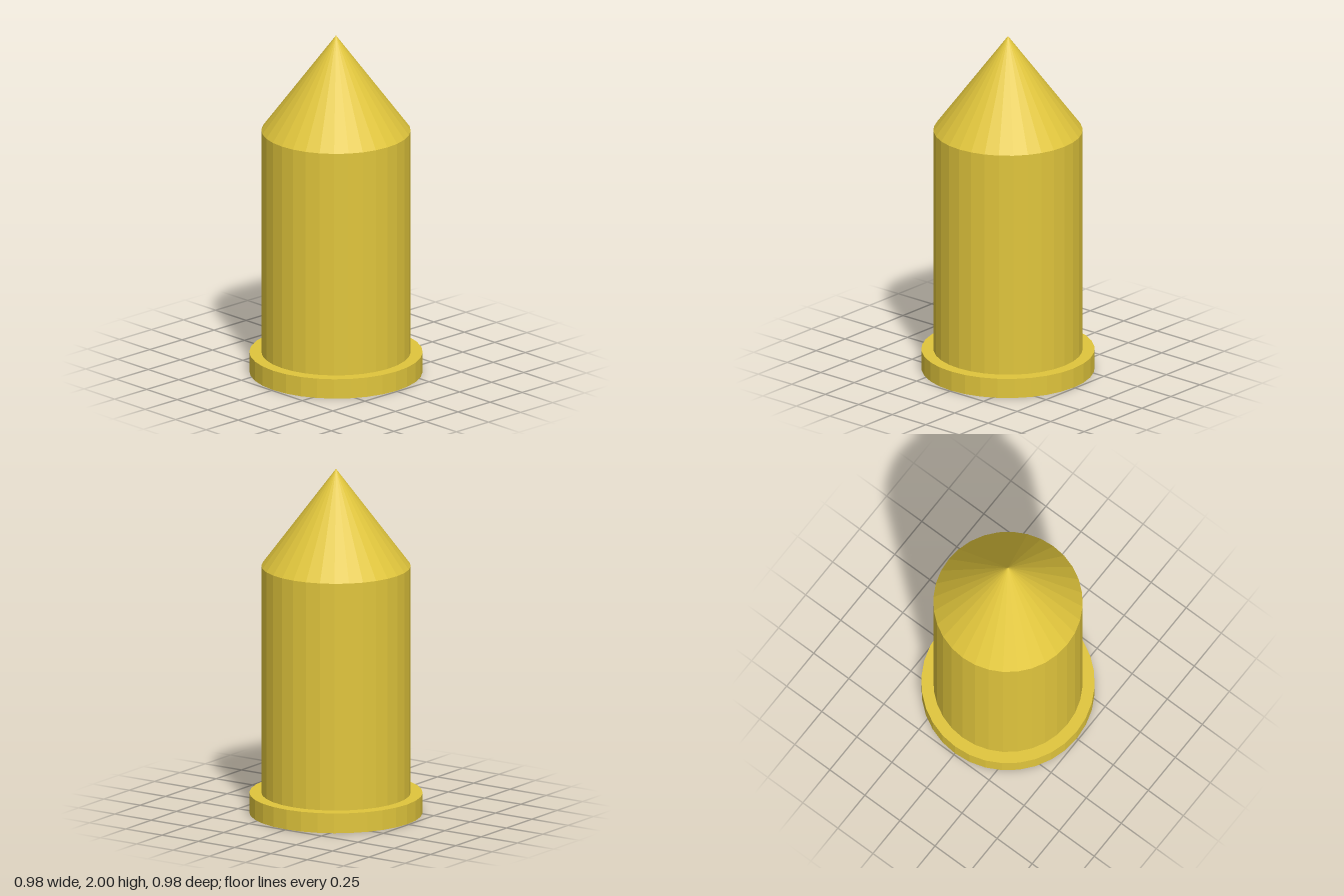
import * as THREE from 'three';

const SIDES = 32;

export function createModel() {
  const group = new THREE.Group();
  const brass = new THREE.MeshStandardMaterial({ color: 0xe0c53c, flatShading: true });

  // Adds one round section standing on height y
  function addSection(name, geometry, y, height) {
    const mesh = new THREE.Mesh(geometry, brass);
    mesh.name = name;
    mesh.position.y = y + height / 2;
    group.add(mesh);
  }

  // Wide rim at the foot
  addSection('baseRim', new THREE.CylinderGeometry(0.49, 0.49, 0.115, SIDES), 0, 0.115);

  // Straight casing
  addSection('body', new THREE.CylinderGeometry(0.422, 0.422, 1.32, SIDES), 0.115, 1.32);

  // Pointed tip
  addSection('tip', new THREE.ConeGeometry(0.422, 0.565, SIDES, 1, true), 1.435, 0.565);

  return group;
}
